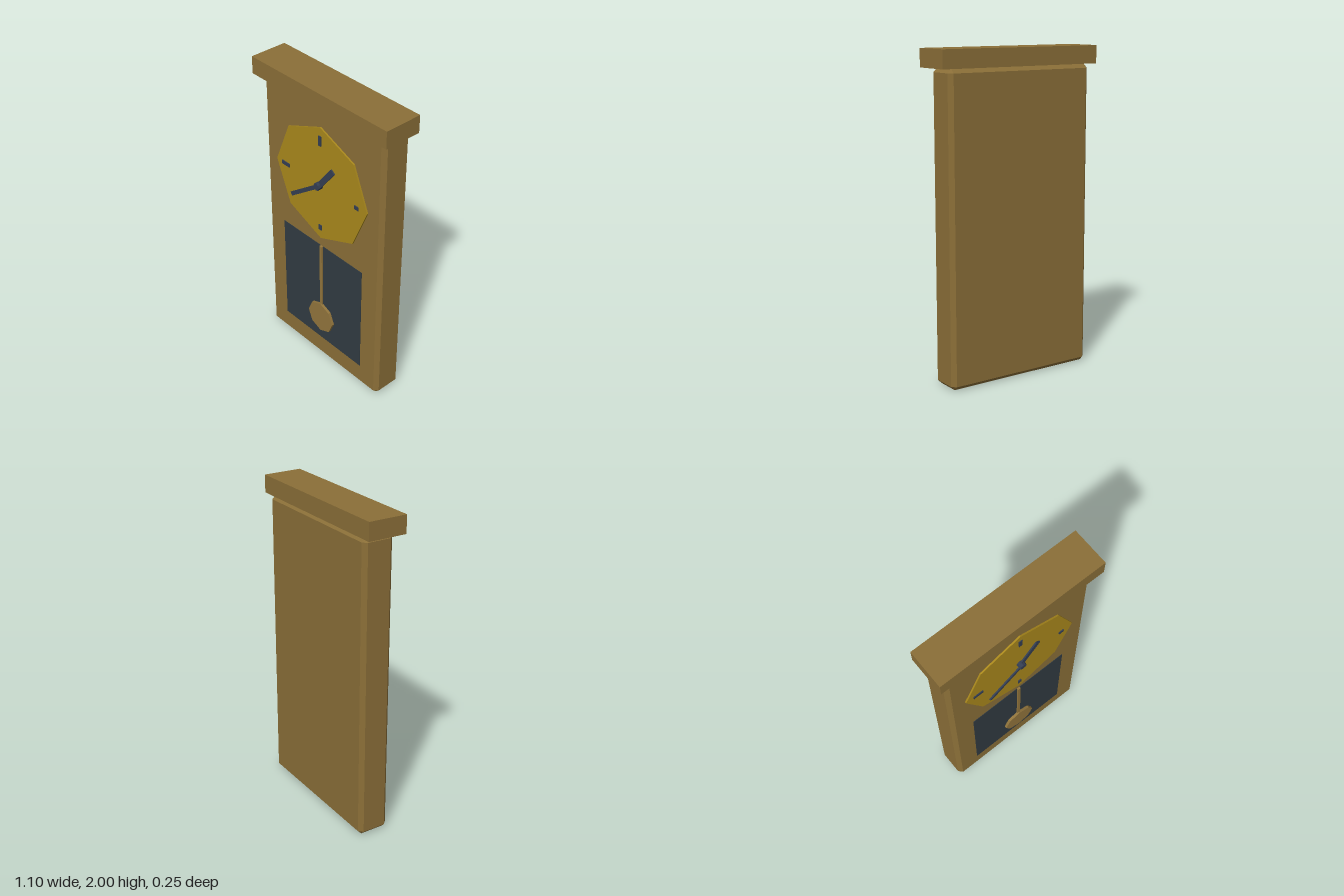
import * as THREE from 'three';
import { ConvexGeometry } from 'three/addons/geometries/ConvexGeometry.js';

const material = (color) => new THREE.MeshStandardMaterial({ color, flatShading: true });

export function createModel() {
  const clock = new THREE.Group();
  clock.name = 'wallClock';
  const wood = material(0x8b6f38);
  const gold = material(0xa9881c);
  const dark = material(0x343e52);
  const slate = material(0x313b42);
  const brass = material(0x92753c);

  function add(name, geometry, mat) {
    const mesh = new THREE.Mesh(geometry, mat);
    mesh.name = name;
    clock.add(mesh);
    return mesh;
  }

  // Box given by its lower and upper limits
  function box(name, mat, [x0, x1], [y0, y1], [z0, z1]) {
    const mesh = add(name, new THREE.BoxGeometry(x1 - x0, y1 - y0, z1 - z0), mat);
    mesh.position.set((x0 + x1) / 2, (y0 + y1) / 2, (z0 + z1) / 2);
    return mesh;
  }

  // Eight-sided disc facing the front
  function disc(name, mat, radius, y, z0, z1) {
    const geometry = new THREE.CylinderGeometry(radius, radius, z1 - z0, 8);
    geometry.rotateX(Math.PI / 2);
    add(name, geometry, mat).position.set(0, y, (z0 + z1) / 2);
  }

  // Case: box with every edge chamfered
  const half = [0.5, 0.945, 0.1];
  const chamfer = 0.025;
  const corners = [];
  for (const sx of [-1, 1]) for (const sy of [-1, 1]) for (const sz of [-1, 1]) {
    for (let axis = 0; axis < 3; axis++) {
      const [x, y, z] = half.map((h, i) => (i === axis ? h : h - chamfer));
      corners.push(new THREE.Vector3(sx * x, sy * y, sz * z));
    }
  }
  add('case', new ConvexGeometry(corners), wood).position.set(0, 0.945, -0.02);

  // Top board
  box('topBoard', wood, [-0.55, 0.55], [1.89, 2], [-0.125, 0.12]);

  // Dial and hour marks
  const dialY = 1.37;
  disc('dial', gold, 0.39, dialY, 0.075, 0.09);
  const markZ = [0.085, 0.096];
  box('markTwelve', dark, [-0.012, 0.012], [1.64, 1.705], markZ);
  box('markSix', dark, [-0.012, 0.012], [1.045, 1.08], markZ);
  box('markThree', dark, [0.29, 0.323], [1.358, 1.382], markZ);
  box('markNine', dark, [-0.338, -0.27], [1.358, 1.382], markZ);

  // Hands run from the hub to a tip
  function hand(name, tipX, tipY, width, z0, z1) {
    const length = Math.hypot(tipX, tipY - dialY);
    const geometry = new THREE.BoxGeometry(width, length, z1 - z0);
    geometry.translate(0, length / 2, 0);
    const mesh = add(name, geometry, dark);
    mesh.position.set(0, dialY, (z0 + z1) / 2);
    mesh.rotation.z = Math.atan2(-tipX, tipY - dialY);
  }
  hand('hourHand', 0.12, 1.525, 0.036, 0.097, 0.106);
  hand('minuteHand', -0.235, 1.197, 0.025, 0.107, 0.116);
  disc('hub', dark, 0.024, dialY, 0.085, 0.124);

  // Pendulum window
  box('window', slate, [-0.35, 0.35], [0.155, 0.915], [0.07, 0.083]);

  // Pendulum
  box('pendulumRod', brass, [-0.01, 0.01], [0.44, 0.915], [0.08, 0.093]);
  disc('pendulumBob', brass, 0.111, 0.344, 0.08, 0.1);

  return clock;
}
